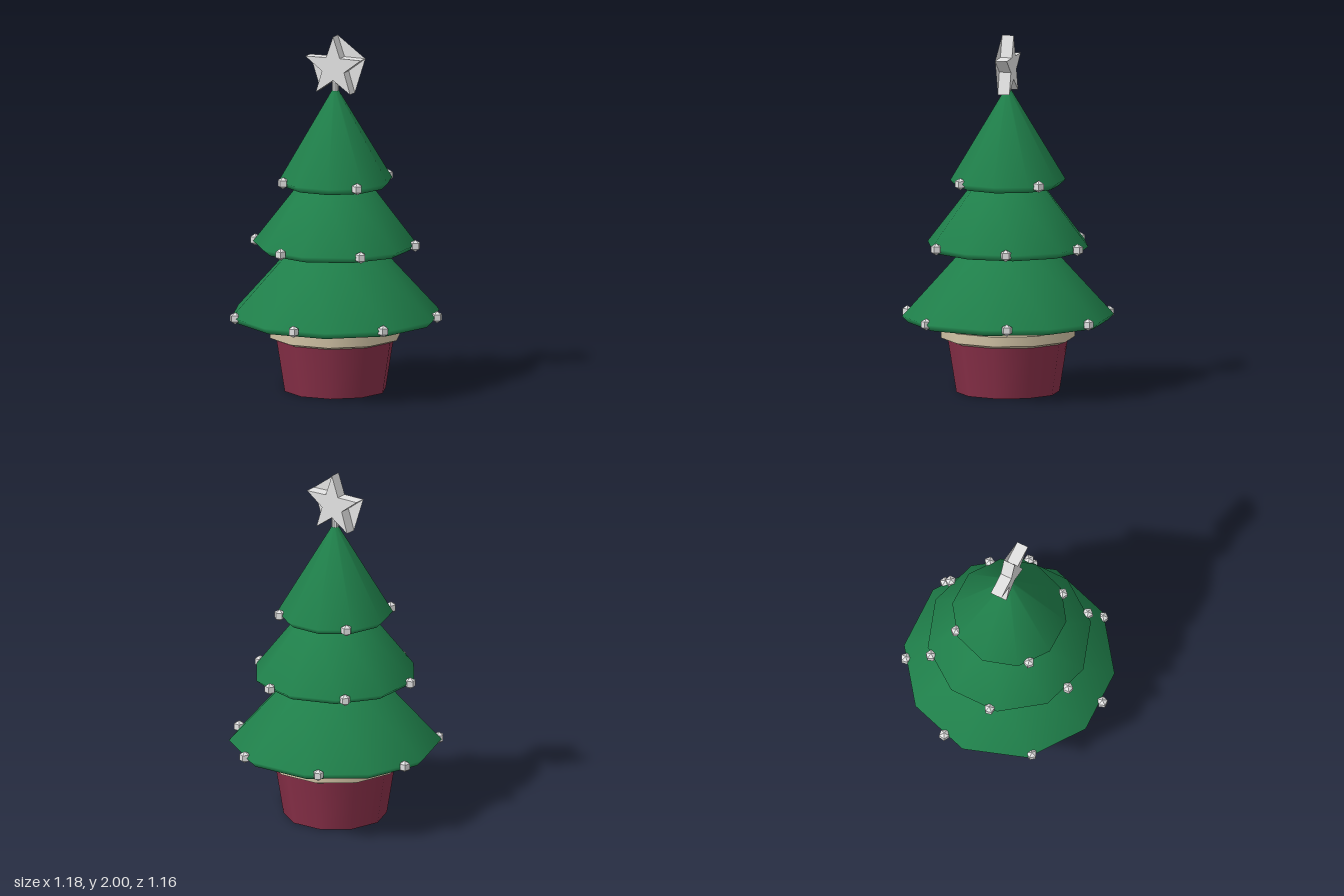
import * as THREE from 'three';

const CX = -0.003, CZ = -0.026; // trunk axis
const SIDES = 10;

const mat = (name, color, flat = false) => {
  const m = new THREE.MeshStandardMaterial({ color, flatShading: flat });
  m.name = name;
  return m;
};

export function createModel() {
  const green = mat('needleGreen', 0x1f7f4a);
  const maroon = mat('potMaroon', 0x8a3049);
  const beige = mat('rimBeige', 0xd2c4a6);
  const silver = mat('silver', 0xe4e4e4, true);

  const model = new THREE.Group();
  model.name = 'pottedTree';

  const add = (name, geometry, material, parent = model) => {
    const mesh = new THREE.Mesh(geometry, material);
    mesh.name = name;
    parent.add(mesh);
    return mesh;
  };

  // Ten-sided drum standing between heights y0 and y1
  const frustum = (name, r0, y0, r1, y1, material) => {
    const mesh = add(name, new THREE.CylinderGeometry(r1, r0, y1 - y0, SIDES), material);
    mesh.position.set(CX, (y0 + y1) / 2, CZ);
    mesh.rotation.y = Math.PI / SIDES;
  };

  // Pot, rim and trunk
  frustum('pot', 0.287, 0, 0.335, 0.3, maroon);
  frustum('rimUnderside', 0.335, 0.29, 0.372, 0.305, beige);
  frustum('rim', 0.372, 0.305, 0.372, 0.36, beige);
  frustum('trunk', 0.086, 0.3, 0.086, 0.42, maroon);

  // Three tiers: foliage with an inward lip, a flat underside and a ring of baubles
  const tiers = [
    { name: 'lowerTier', r: 0.59, lip: 0.555, y: 0.43, topR: 0.225, topY: 0.83, turn: 18,
      baubles: 7, ring: 0.575, start: 90 },
    { name: 'middleTier', r: 0.459, lip: 0.415, y: 0.83, topR: 0.18, topY: 1.19, turn: -0.5,
      baubles: 6, ring: 0.453, start: 48 },
    { name: 'upperTier', r: 0.321, lip: 0.283, y: 1.19, topR: 0.018, topY: 1.695, turn: 16.6,
      baubles: 4, ring: 0.315, start: 43.5 },
  ];
  const baubleGeo = new THREE.SphereGeometry(0.034, 5, 3);
  for (const t of tiers) {
    const tier = new THREE.Group();
    tier.name = t.name;
    tier.position.set(CX, 0, CZ);
    model.add(tier);

    const turn = THREE.MathUtils.degToRad(t.turn);
    const bottom = t.y - 0.036;
    const profile = [[t.lip, bottom], [t.r, t.y], [t.topR, t.topY], [0, t.topY]];
    const foliage = new THREE.LatheGeometry(profile.map(([x, y]) => new THREE.Vector2(x, y)), SIDES);
    add('foliage', foliage, green, tier).rotation.y = turn;

    const underside = new THREE.CircleGeometry(t.lip, SIDES, Math.PI / 2).rotateX(Math.PI / 2);
    const base = add('underside', underside, green, tier);
    base.position.y = bottom;
    base.rotation.y = turn;

    for (let i = 0; i < t.baubles; i++) {
      const a = THREE.MathUtils.degToRad(t.start) + (i / t.baubles) * Math.PI * 2;
      const bauble = add('bauble', baubleGeo, silver, tier);
      bauble.position.set(t.ring * Math.cos(a), t.y, t.ring * Math.sin(a));
      bauble.rotation.y = -a;
    }
  }

  // Star on a short stem
  frustum('starStem', 0.02, 1.685, 0.02, 1.77, silver);
  const points = [];
  for (let i = 0; i < 10; i++) {
    const a = Math.PI / 2 + (i * Math.PI) / 5;
    const r = i % 2 ? 0.07 : 0.177;
    points.push(new THREE.Vector2(r * Math.cos(a), r * Math.sin(a)));
  }
  const depth = 0.066;
  const star = new THREE.Group();
  star.name = 'star';
  star.position.set(CX, 1.823, CZ - depth / 2);
  model.add(star);
  add('starBody', new THREE.ExtrudeGeometry(new THREE.Shape(points), { depth, bevelEnabled: false }), silver, star);

  // Thin webs across three notches, on both faces and turned inward
  for (const notch of [3, 7, 9]) {
    const corners = [notch - 1, notch, (notch + 1) % 10].map((i) => points[i]);
    add('starWebBack', new THREE.ShapeGeometry(new THREE.Shape(corners)), silver, star);
    const mirrored = corners.map((p) => new THREE.Vector2(-p.x, p.y));
    const front = add('starWebFront', new THREE.ShapeGeometry(new THREE.Shape(mirrored)), silver, star);
    front.rotation.y = Math.PI;
    front.position.z = depth;
  }

  return model;
}
